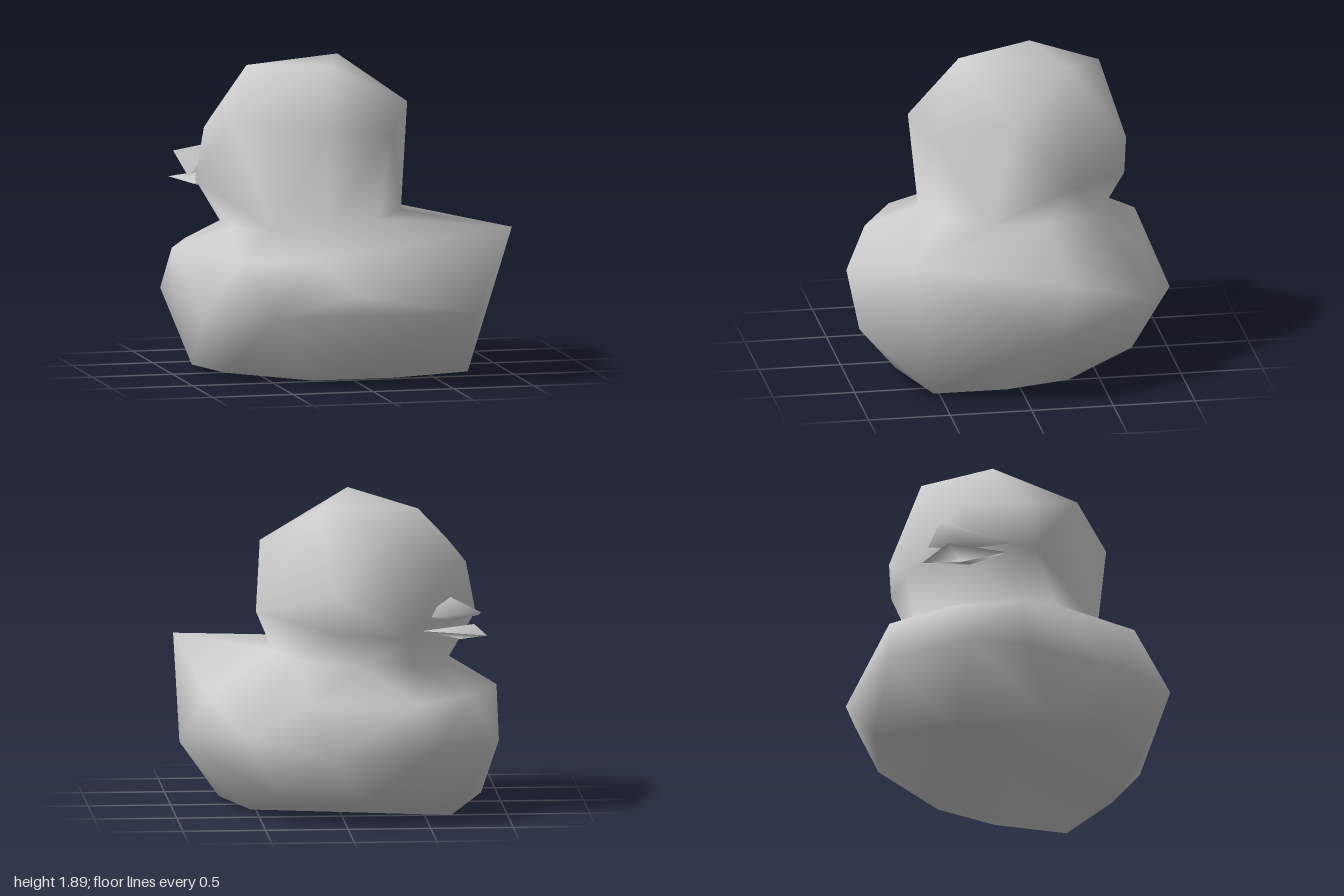
import * as THREE from 'three';
import { mergeVertices } from 'three/addons/utils/BufferGeometryUtils.js';
import { ConvexGeometry } from 'three/addons/geometries/ConvexGeometry.js';

// Irregular body cross-sections, each starting at the tail and running towards +z
const base = [
  [0.7, 0.04, 0.55], [0.2, 0.04, 0.7], [-0.3, 0.04, 0.7], [-0.75, 0.05, 0.32], [-0.88, 0.06, 0],
  [-0.66, 0.005, -0.51], [-0.11, 0.14, -0.88], [0.37, 0.14, -0.72], [0.54, 0.02, -0.3], [0.7, 0.04, 0.1],
];
const waist = [
  [0.64, 0.46, 0.995], [-0.08, 0.58, 0.95], [-0.56, 0.45, 0.85], [-0.92, 0.4, 0.43], [-0.955, 0.46, -0.15],
  [-0.95, 0.46, -0.51], [-0.55, 0.47, -0.91], [0.1, 0.42, -1], [0.61, 0.54, -0.8], [0.96, 0.42, -0.18],
];
const shoulder = [
  [0.93, 0.94, 0.73], [0.25, 0.77, 0.82], [-0.3, 0.78, 0.8], [-0.72, 0.76, 0.58], [-0.96, 0.75, -0.18],
  [-0.78, 0.75, -0.57], [-0.45, 0.74, -0.88], [0.22, 0.74, -0.82], [0.8, 0.72, -0.29],
];

// Tilted neck ring shared by body and head
const neck = [0.55, 0.55, 0.55, 0.55, 0.55, 0.55, 0.57, 0.62, 0.55, 0.55].map((r, i) => {
  const a = THREE.MathUtils.degToRad(56 + i * 36);
  const dx = r * Math.cos(a), dz = r * Math.sin(a);
  return [-0.13 + dx, 0.94 + 0.075 * dx + 0.01 * dz, -0.05 + dz];
});

// Head: cheeks, brow and crown
const cheeks = [
  [0.51, 1.24, -0.35], [0.05, 1.15, -0.73], [-0.37, 1.12, -0.75], [-0.7, 1.25, -0.46], [-0.84, 1.18, -0.08],
];
const brow = [
  [0.46, 1.62, 0], [0.24, 1.5, 0.48], [-0.16, 1.53, 0.56], [-0.69, 1.58, 0.23], [-0.78, 1.49, -0.1],
  [-0.64, 1.5, -0.48], [0.06, 1.38, -0.74],
];
const crown = [[-0.09, 1.895, 0.26], [0.12, 1.87, -0.38], [-0.48, 1.84, -0.24], [-0.27, 1.77, -0.63]];

const key = (x, y, z) => [x, y, z].map((v) => v.toFixed(4)).join();

// Corner positions of a taut skin around the points, left open across the given rim
function skin(points, rim = []) {
  const rimKeys = new Set(rim.map((p) => key(...p)));
  const corners = new ConvexGeometry(points.map((p) => new THREE.Vector3(...p))).attributes.position.array;
  const kept = [];
  for (let i = 0; i < corners.length; i += 9) {
    const face = [...corners.slice(i, i + 9)];
    const onRim = [0, 3, 6].every((k) => rimKeys.has(key(...face.slice(k, k + 3))));
    if (!onRim) kept.push(...face);
  }
  return kept;
}

// Welds the corners so the surface shades smoothly
function smoothGeometry(corners) {
  const raw = new THREE.BufferGeometry();
  raw.setAttribute('position', new THREE.Float32BufferAttribute(corners, 3));
  const geometry = mergeVertices(raw);
  geometry.computeVertexNormals();
  return geometry;
}

export function createModel() {
  const model = new THREE.Group();
  model.name = 'bathDuck';
  const grey = new THREE.MeshStandardMaterial({ color: 0xcccccc });
  grey.name = 'light grey';

  function add(name, corners) {
    const mesh = new THREE.Mesh(smoothGeometry(corners), grey);
    mesh.name = name;
    model.add(mesh);
  }

  // Body with tail, joined to the head along the neck
  add('bodyAndHead', [
    ...skin([...base, ...waist, ...shoulder, ...neck], neck),
    ...skin([...neck, ...cheeks, ...brow, ...crown], neck),
  ]);

  // Open beak: two corners, tip, root and underside or floor
  add('upperBill', skin([
    [-0.53, 1.24, -0.66], [-0.85, 1.18, -0.22], [-0.83, 1.27, -0.67],
    [-0.62, 1.35, -0.44], [-0.68, 1.19, -0.46],
  ]));
  add('lowerBill', skin([
    [-0.47, 1.16, -0.68], [-0.82, 1.13, -0.25], [-0.87, 1.12, -0.63],
    [-0.72, 1.08, -0.5], [-0.6, 1.12, -0.4],
  ]));
  return model;
}
